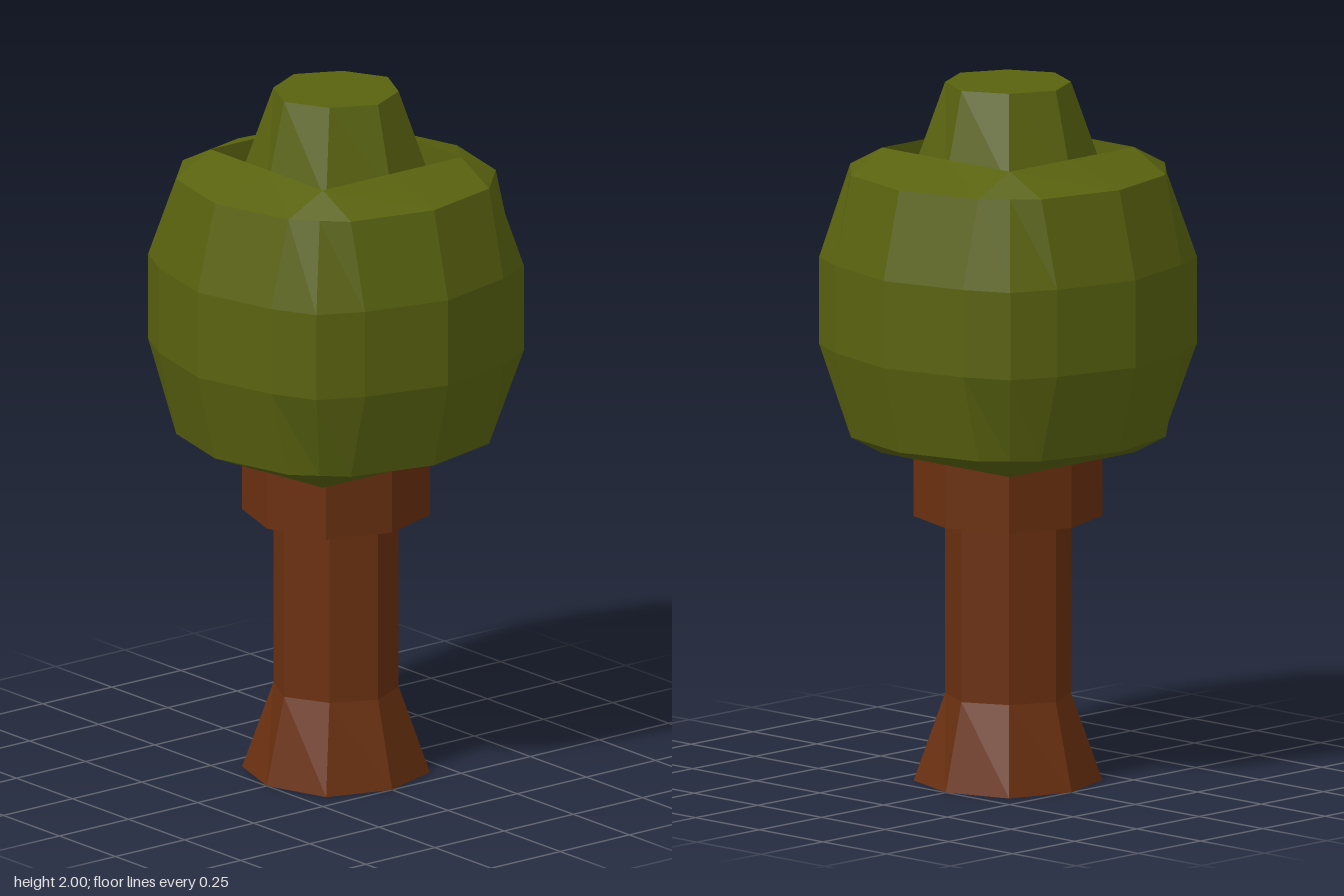
import * as THREE from 'three';

// Full ring from the points of one quarter, repeated four times about y
function ring(y, quarter) {
  const pts = [];
  for (let q = 0; q < 4; q++) {
    for (const [x, z] of quarter) {
      const [a, b] = [[x, z], [-z, x], [-x, -z], [z, -x]][q];
      pts.push(new THREE.Vector3(a, y, b));
    }
  }
  return pts;
}

// Faceted skin through rings of equal point count, listed bottom to top
function loft(name, material, rings) {
  const pos = [];
  const tri = (a, b, c) => {
    const area = b.clone().sub(a).cross(c.clone().sub(a)).length();
    if (area > 1e-7) for (const p of [a, b, c]) pos.push(p.x, p.y, p.z);
  };
  for (let r = 0; r < rings.length - 1; r++) {
    const lo = rings[r], hi = rings[r + 1], n = lo.length;
    for (let i = 0; i < n; i++) {
      const j = (i + 1) % n;
      tri(lo[i], hi[i], hi[j]);
      tri(lo[i], hi[j], lo[j]);
    }
  }
  const geo = new THREE.BufferGeometry();
  geo.setAttribute('position', new THREE.Float32BufferAttribute(pos, 3));
  geo.computeVertexNormals();
  const mesh = new THREE.Mesh(geo, material);
  mesh.name = name;
  return mesh;
}

export function createModel() {
  const leaf = new THREE.MeshStandardMaterial({ color: 0x59620f, flatShading: true });
  leaf.name = 'leaf green';
  const bark = new THREE.MeshStandardMaterial({ color: 0x6a3010, flatShading: true });
  bark.name = 'bark brown';

  // Octagon sections
  const wide = y => ring(y, [[0.25, 0], [0.1875, 0.1875]]);
  const slim = y => ring(y, [[0.1875, 0], [0.125, 0.125]]);
  const octCentre = y => ring(y, [[0, 0], [0, 0]]);

  // Crown sections
  const belly = y => ring(y, [[0.5, 0], [0.4375, 0.25], [0.375, 0.375], [0.25, 0.4375]]);
  const shoulder = y => ring(y, [[0.4375, 0], [0.375, 0.25], [0.3125, 0.3125], [0.25, 0.375]]);
  const square = y => ring(y, [[0.25, 0], [0.25, 0.25], [0.25, 0.25], [0.25, 0.25]]);
  const centre = y => ring(y, [[0, 0], [0, 0], [0, 0], [0, 0]]);

  const tree = new THREE.Group();
  tree.name = 'tree';
  tree.add(
    // Flared trunk with a green underside
    loft('trunkBase', leaf, [octCentre(0), wide(0)]),
    loft('trunk', bark, [wide(0), slim(0.25), slim(0.76)]),
    // Collar below the crown
    loft('trunkCollar', bark, [slim(0.757), wide(0.757), wide(1)]),
    // Rounded crown with shallow square recesses above and below
    loft('crown', leaf, [
      centre(1), square(1), square(0.9375), shoulder(1), belly(1.25),
      belly(1.5), shoulder(1.75), square(1.8125), square(1.75), centre(1.75),
    ]),
    // Tapered tuft on top
    loft('crownTop', leaf, [wide(1.75), slim(2), octCentre(2)]),
  );
  return tree;
}
